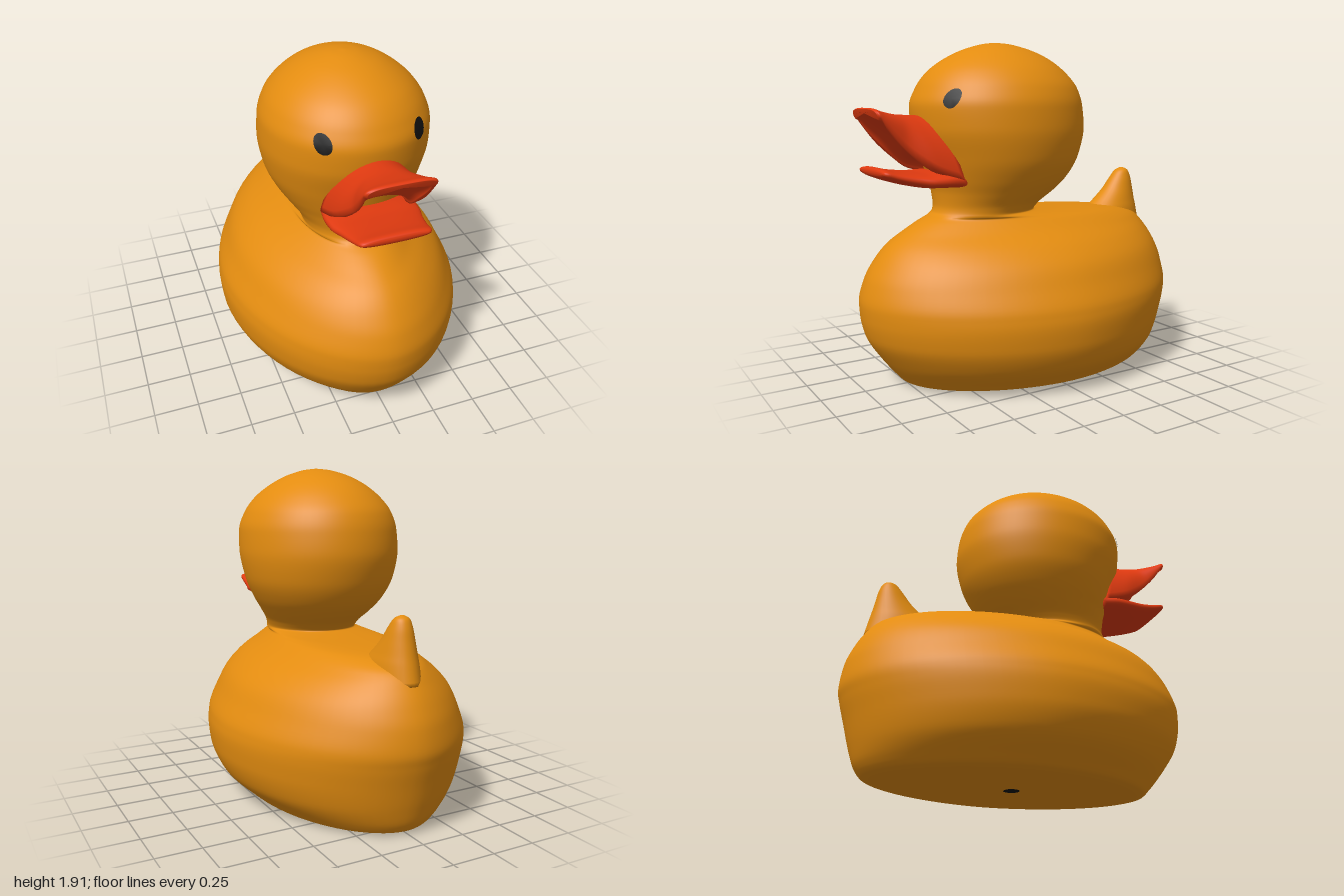
import * as THREE from 'three';

// Monotone spline through a table of rows, column by column; t runs 0..1
function sample(rows, t) {
  const n = rows.length - 1;
  const f = Math.min(Math.max(t, 0), 1) * n;
  const i = Math.min(Math.floor(f), n - 1);
  const u = f - i;
  return rows[0].map((_, k) => {
    const d = (j) => rows[j + 1][k] - rows[j][k];
    const slope = (j) => {
      if (j === 0) return d(0);
      if (j === n) return d(n - 1);
      const a = d(j - 1), b = d(j);
      return a * b <= 0 ? 0 : (2 * a * b) / (a + b);
    };
    const p = rows[i][k], q = rows[i + 1][k];
    const u2 = u * u, u3 = u2 * u;
    return p * (2 * u3 - 3 * u2 + 1) + slope(i) * (u3 - 2 * u2 + u)
      + q * (3 * u2 - 2 * u3) + slope(i + 1) * (u3 - u2);
  });
}

const spow = (v, e) => Math.sign(v) * Math.pow(Math.abs(v), e);

// Skin closed rings of points, with a fan at each end
function skin(rings) {
  const m = rings[0].length, pos = [], idx = [];
  rings.forEach((r) => r.forEach((p) => pos.push(...p)));
  for (let i = 0; i < rings.length - 1; i++) {
    for (let j = 0; j < m; j++) {
      const k = (j + 1) % m;
      const a = i * m + j, b = i * m + k, c = a + m, d = b + m;
      idx.push(a, b, d, a, d, c);
    }
  }
  for (const end of [0, rings.length - 1]) {
    const centre = pos.length / 3;
    pos.push(...[0, 1, 2].map((k) => rings[end].reduce((s, p) => s + p[k], 0) / m));
    for (let j = 0; j < m; j++) {
      const a = end * m + j, b = end * m + ((j + 1) % m);
      idx.push(centre, ...(end === 0 ? [b, a] : [a, b]));
    }
  }
  const g = new THREE.BufferGeometry();
  g.setAttribute('position', new THREE.Float32BufferAttribute(pos, 3));
  g.setIndex(idx);
  g.computeVertexNormals();
  return g;
}

// Upright loft; rows are [y, half width, front z, back z]
function uprightLoft(rows, steps, power, sides = 72) {
  const rings = [];
  for (let i = 0; i <= steps; i++) {
    const [y, w, zf, zb] = sample(rows, i / steps);
    const e = 2 / power(y), ring = [];
    for (let j = 0; j < sides; j++) {
      const a = (j / sides) * Math.PI * 2;
      ring.push([w * spow(Math.sin(a), e), y, (zf + zb) / 2 + ((zf - zb) / 2) * spow(Math.cos(a), e)]);
    }
    rings.push(ring);
  }
  return skin(rings);
}

// Body, neck and head in one profile
const BODY = [
  [0.003, 0.45, 0.72, -0.80], [0.012, 0.49, 0.76, -0.845], [0.06, 0.55, 0.81, -0.885],
  [0.16, 0.65, 0.89, -0.92], [0.29, 0.70, 0.97, -0.955], [0.40, 0.71, 0.995, -0.985],
  [0.48, 0.70, 1.0, -1.0], [0.60, 0.645, 0.97, -0.985], [0.70, 0.59, 0.915, -0.95],
  [0.79, 0.50, 0.84, -0.90], [0.87, 0.38, 0.73, -0.83], [0.92, 0.31, 0.64, -0.66],
  [0.935, 0.285, 0.605, -0.45], [0.945, 0.275, 0.58, -0.20], [0.96, 0.265, 0.56, -0.05],
  [1.0, 0.28, 0.55, -0.085], [1.07, 0.33, 0.555, -0.18], [1.15, 0.385, 0.575, -0.26],
  [1.27, 0.44, 0.61, -0.325], [1.43, 0.467, 0.66, -0.36], [1.55, 0.462, 0.67, -0.35],
  [1.65, 0.43, 0.635, -0.32], [1.74, 0.365, 0.57, -0.25], [1.82, 0.265, 0.46, -0.145],
  [1.87, 0.17, 0.35, -0.03], [1.90, 0.07, 0.24, 0.09], [1.907, 0.01, 0.18, 0.16],
];

const TAIL = [
  [0.80, 0.13, -0.42, -0.895], [0.90, 0.115, -0.50, -0.872], [0.95, 0.10, -0.56, -0.86],
  [1.02, 0.08, -0.635, -0.845], [1.09, 0.06, -0.69, -0.83], [1.135, 0.04, -0.73, -0.81],
  [1.152, 0.01, -0.765, -0.78],
];

// Upper bill rows: outer centre y, z; outer edge x, y, z; inner centre y, z; inner edge x, y, z; roundness
const UPPER = [
  [1.50, 0.60, 0.25, 1.16, 0.50, 1.28, 0.58, 0.20, 1.17, 0.50, 1.1],
  [1.505, 0.70, 0.235, 1.21, 0.64, 1.30, 0.67, 0.19, 1.20, 0.64, 1.0],
  [1.51, 0.79, 0.19, 1.34, 0.82, 1.40, 0.79, 0.165, 1.33, 0.81, 0.8],
  [1.53, 0.90, 0.19, 1.45, 0.91, 1.48, 0.90, 0.17, 1.43, 0.90, 0.65],
  [1.546, 0.955, 0.188, 1.495, 0.945, 1.51, 0.945, 0.172, 1.475, 0.93, 0.6],
  [1.54, 0.972, 0.175, 1.495, 0.955, 1.525, 0.968, 0.168, 1.485, 0.95, 0.6],
];

// Lower bill rows: z, half width, centre y, half height
const LOWER = [
  [0.48, 0.24, 1.15, 0.045], [0.58, 0.255, 1.155, 0.045], [0.66, 0.25, 1.155, 0.042],
  [0.75, 0.225, 1.165, 0.038], [0.85, 0.205, 1.185, 0.032], [0.91, 0.195, 1.203, 0.028],
  [0.93, 0.18, 1.207, 0.018], [0.935, 0.165, 1.208, 0.006],
];

function upperBill() {
  const rings = [], n = 24;
  for (let i = 0; i <= 30; i++) {
    const [cy, cz, ex, ey, ez, iy, iz, jx, jy, jz, e] = sample(UPPER, i / 30);
    const ring = [];
    for (let j = 0; j <= n; j++) {
      const a = (j / n) * Math.PI, s = Math.pow(Math.max(Math.sin(a), 0), e);
      ring.push([ex * spow(Math.cos(a), Math.min(e, 1)), ey + (cy - ey) * s, ez + (cz - ez) * s]);
    }
    for (let j = n; j >= 0; j--) {
      const a = (j / n) * Math.PI, s = Math.max(Math.sin(a), 0);
      ring.push([jx * Math.cos(a), jy + (iy - jy) * s, jz + (iz - jz) * s]);
    }
    rings.push(ring);
  }
  return skin(rings);
}

function lowerBill() {
  const rings = [], sides = 40;
  for (let i = 0; i <= 28; i++) {
    const [z, w, y, h] = sample(LOWER, i / 28);
    const ring = [];
    for (let j = 0; j < sides; j++) {
      const a = (j / sides) * Math.PI * 2;
      ring.push([w * spow(Math.cos(a), 0.8), y + h * spow(Math.sin(a), 0.7), z]);
    }
    rings.push(ring);
  }
  return skin(rings);
}

// Front surface of the head at a given x and y
function faceZ(x, y) {
  let lo = 0, hi = 1;
  for (let k = 0; k < 30; k++) {
    const mid = (lo + hi) / 2;
    if (sample(BODY, mid)[0] < y) lo = mid; else hi = mid;
  }
  const [, w, zf, zb] = sample(BODY, lo);
  return (zf + zb) / 2 + ((zf - zb) / 2) * Math.sqrt(Math.max(0, 1 - (x / w) ** 2));
}

// Oval plate that follows the head
function eye(side) {
  const g = new THREE.CircleGeometry(1, 28), p = g.attributes.position;
  for (let i = 0; i < p.count; i++) {
    const x = side * 0.255 + p.getX(i) * 0.039, y = 1.595 + p.getY(i) * 0.052;
    p.setXYZ(i, x + side * 0.003, y, faceZ(x, y) + 0.006);
  }
  g.computeVertexNormals();
  return g;
}

export function createModel() {
  const material = (name, color) => {
    const m = new THREE.MeshStandardMaterial({ color });
    m.name = name;
    return m;
  };
  const yellow = material('warm yellow', 0xe38c10);
  const red = material('bill red', 0xe03a10);
  const black = material('black', 0x111111);

  const group = new THREE.Group();
  group.name = 'bathDuck';
  const add = (name, geometry, mat) => {
    const mesh = new THREE.Mesh(geometry, mat);
    mesh.name = name;
    group.add(mesh);
    return mesh;
  };

  add('bodyAndHead', uprightLoft(BODY, 156, (y) => (y < 0.85 ? 1.85 : Math.min(2, 1.85 + (y - 0.85) * 1.5))), yellow);
  add('tail', uprightLoft(TAIL, 30, () => 2, 32), yellow);
  add('upperBill', upperBill(), red);
  add('lowerBill', lowerBill(), red);
  add('leftEye', eye(1), black);
  add('rightEye', eye(-1), black);

  // Small air hole under the base
  const hole = add('airHole', new THREE.CircleGeometry(0.045, 24), black);
  hole.rotation.x = Math.PI / 2;
  hole.position.set(0, 0, -0.02);
  return group;
}
